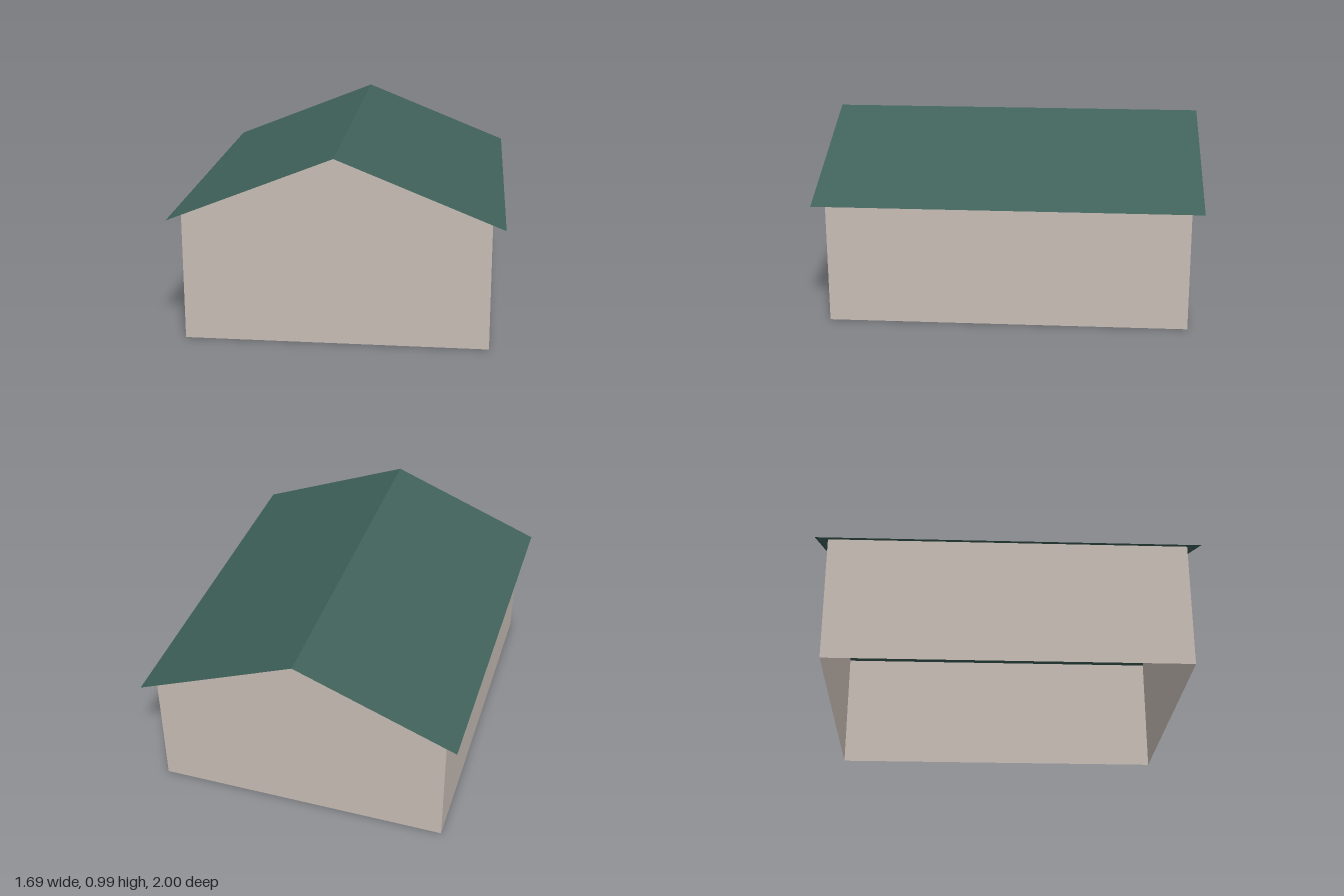
import * as THREE from 'three';

const RIDGE = 0.985, SLOPE = 0.4;        // ridge height and roof pitch
const WALL_X = 0.78, WALL_Z = 0.94;      // half width and half length of the walls
const ROOF_X = 0.845, ROOF_Z = 1;        // half width and half length of the roof
const roofY = (x) => RIDGE - SLOPE * x;

export function createModel() {
  const wallMat = new THREE.MeshStandardMaterial({ color: 0xc9beb7, side: THREE.DoubleSide, flatShading: true });
  wallMat.name = 'beige wall';
  const roofMat = new THREE.MeshStandardMaterial({ color: 0x40625b, side: THREE.DoubleSide, flatShading: true });
  roofMat.name = 'green roof';

  const house = new THREE.Group();
  house.name = 'house';
  const add = (name, geometry, material) => {
    const mesh = new THREE.Mesh(geometry, material);
    mesh.name = name;
    house.add(mesh);
  };

  // Gable outline, from the ground up to the ridge
  const eave = roofY(WALL_X);
  const gable = new THREE.Shape([[-WALL_X, 0], [WALL_X, 0], [WALL_X, eave], [0, RIDGE], [-WALL_X, eave]]
    .map(([x, y]) => new THREE.Vector2(x, y)));

  // Gable end walls; the floor stays open
  add('frontGable', new THREE.ShapeGeometry(gable).translate(0, 0, WALL_Z), wallMat);
  add('backGable', new THREE.ShapeGeometry(gable).rotateY(Math.PI).translate(0, 0, -WALL_Z), wallMat);

  // Side walls and sloping roof sheets, mirrored left and right
  for (const [side, s] of [['left', 1], ['right', -1]]) {
    add(side + 'Wall', new THREE.PlaneGeometry(2 * WALL_Z, eave)
      .rotateY(s * Math.PI / 2).translate(s * WALL_X, eave / 2, 0), wallMat);

    const drop = SLOPE * ROOF_X;
    add(side + 'Roof', new THREE.PlaneGeometry(Math.hypot(ROOF_X, drop), 2 * ROOF_Z)
      .rotateX(-Math.PI / 2).rotateZ(-s * Math.atan(SLOPE))
      .translate(s * ROOF_X / 2, RIDGE - drop / 2, 0), roofMat);
  }
  return house;
}
